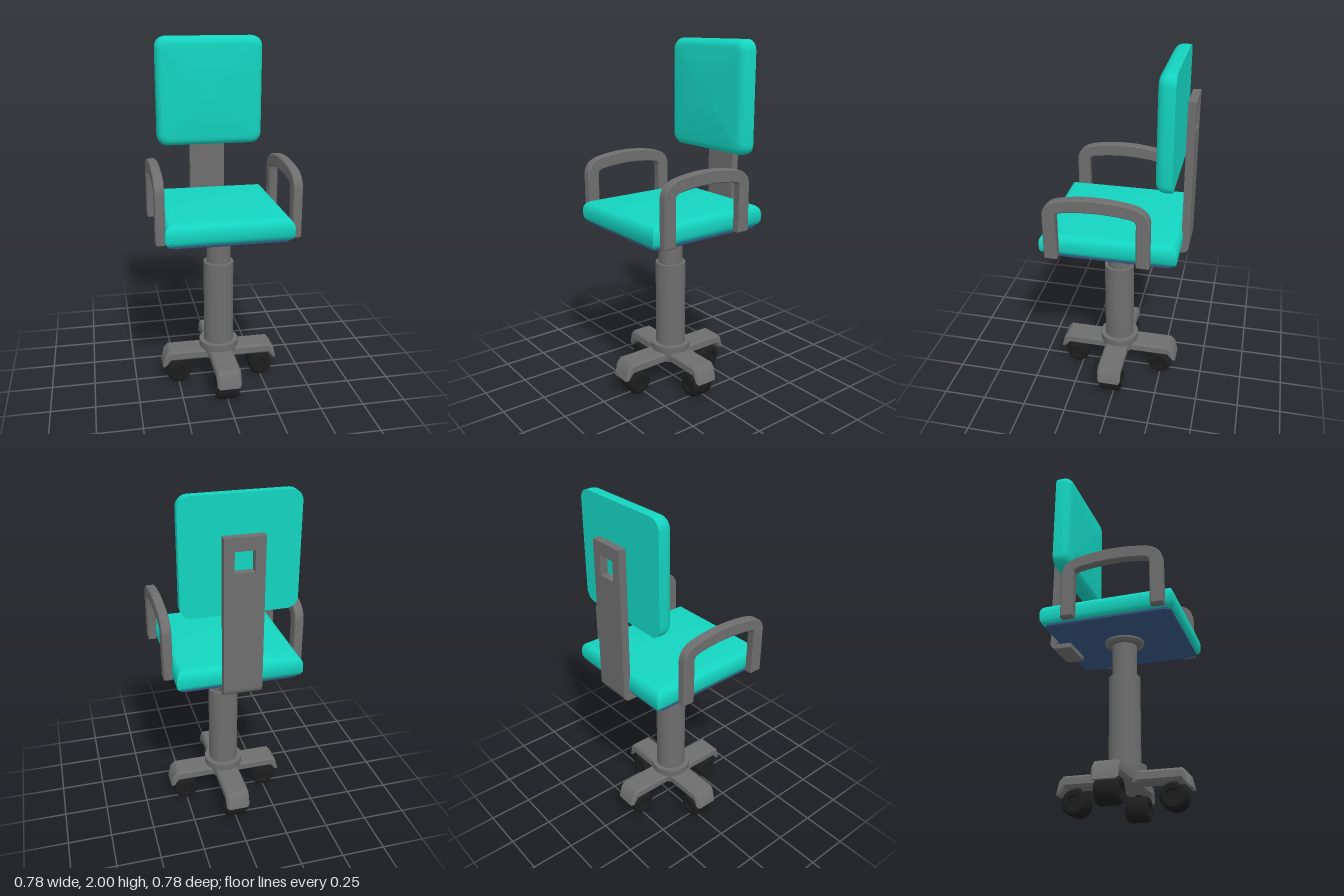
import * as THREE from 'three';
import { toCreasedNormals } from 'three/addons/utils/BufferGeometryUtils.js';

const material = (color) => new THREE.MeshStandardMaterial({ color });
const teal = material(0x14d4c0);
const grey = material(0x6e6e6e);
const blue = material(0x35557f);
const black = material(0x1c1c1c);

function part(name, geometry, mat, parent) {
  const mesh = new THREE.Mesh(toCreasedNormals(geometry, 0.6), mat);
  mesh.name = name;
  parent.add(mesh);
  return mesh;
}

// Counterclockwise outline of a rectangle with rounded corners
function roundedLoop(w, h, r, steps) {
  const loop = [];
  for (let c = 0; c < 4; c++) {
    const sx = c === 0 || c === 3 ? 1 : -1;
    const sy = c < 2 ? 1 : -1;
    for (let i = 0; i <= steps; i++) {
      const a = (c + (steps ? i / steps : 0.5)) * Math.PI / 2;
      loop.push([
        sx * (w / 2 - r) + (steps ? r * Math.cos(a) : sx * r),
        sy * (h / 2 - r) + (steps ? r * Math.sin(a) : sy * r),
      ]);
    }
  }
  return loop;
}

// Pad along z from [z, inset] levels
function pad(w, h, r, steps, levels) {
  const pos = [];
  const index = [];
  const n = (steps + 1) * 4;
  for (const [z, inset] of levels) {
    const loop = roundedLoop(w - 2 * inset, h - 2 * inset, Math.max(r - inset * 0.5, 0), steps);
    for (const [x, y] of loop) pos.push(x, y, z);
  }
  const last = levels.length - 1;
  for (let k = 0; k < last; k++) {
    for (let i = 0; i < n; i++) {
      const a = k * n + i;
      const b = k * n + (i + 1) % n;
      index.push(a, b, b + n, a, b + n, a + n);
    }
  }
  const back = pos.length / 3;
  pos.push(0, 0, levels[0][0], 0, 0, levels[last][0]);
  for (let i = 0; i < n; i++) {
    const j = (i + 1) % n;
    index.push(back, j, i, back + 1, last * n + i, last * n + j);
  }
  const g = new THREE.BufferGeometry();
  g.setAttribute('position', new THREE.Float32BufferAttribute(pos, 3));
  g.setIndex(index);
  return g;
}

// Side profile (z, y) extruded across x, centred on x = 0
function sideExtrude(shape, width, bevel) {
  const depth = width - 2 * bevel;
  return new THREE.ExtrudeGeometry(shape, {
    depth, curveSegments: 10, bevelEnabled: bevel > 0,
    bevelThickness: bevel, bevelSize: bevel, bevelOffset: -bevel, bevelSegments: 1,
  }).translate(0, 0, -depth / 2).rotateY(-Math.PI / 2);
}

const polygon = (pts) => new THREE.Shape(pts.map(([x, y]) => new THREE.Vector2(x, y)));

export function createModel() {
  const chair = new THREE.Group();
  chair.name = 'officeChair';
  const cz = 0.02;

  // Seat and its mounting board
  const seat = pad(0.69, 0.75, 0, 0, [
    [0.98, 0.025], [0.99, 0.01], [1.01, 0], [1.055, 0], [1.075, 0.005],
    [1.09, 0.017], [1.1, 0.033], [1.105, 0.055],
  ]);
  part('seatCushion', seat.rotateX(-Math.PI / 2), teal, chair).position.z = 0.016;
  const board = pad(0.66, 0.71, 0.03, 2, [[0.965, 0.01], [0.972, 0], [0.984, 0]]);
  part('seatBoard', board.rotateX(-Math.PI / 2), blue, chair).position.z = 0.016;

  // Backrest: flat behind, rounded at the front edge
  const backrest = pad(0.62, 0.62, 0.06, 6, [
    [-0.315, 0], [-0.268, 0], [-0.25, 0.005], [-0.236, 0.015], [-0.228, 0.028], [-0.225, 0.045],
  ]);
  part('backrest', backrest, teal, chair).position.y = 1.69;

  // Back support: upright plate with a window, curved foot below
  const plate = polygon([[-0.105, 1], [0.105, 1], [0.105, 1.81], [-0.105, 1.81]]);
  plate.holes.push(new THREE.Path(polygon([
    [-0.052, 1.63], [-0.052, 1.74], [0.052, 1.74], [0.052, 1.63],
  ]).getPoints()));
  part('backSupportPlate', new THREE.ExtrudeGeometry(plate, { depth: 0.043, bevelEnabled: false }),
    grey, chair).position.z = -0.394;
  const foot = new THREE.Shape();
  foot.moveTo(-0.394, 1);
  foot.lineTo(-0.394, 0.975);
  foot.quadraticCurveTo(-0.39, 0.938, -0.35, 0.938);
  foot.lineTo(-0.27, 0.938);
  foot.lineTo(-0.27, 0.965);
  foot.lineTo(-0.365, 0.967);
  foot.quadraticCurveTo(-0.351, 0.97, -0.351, 1);
  part('backSupportFoot', sideExtrude(foot, 0.21, 0), grey, chair);

  // Armrests
  const arch = new THREE.Shape();
  arch.moveTo(0.35, 0.985);
  arch.lineTo(0.35, 1.25);
  arch.quadraticCurveTo(0.345, 1.315, 0.265, 1.338);
  arch.quadraticCurveTo(0.065, 1.38, -0.135, 1.338);
  arch.quadraticCurveTo(-0.215, 1.315, -0.22, 1.25);
  arch.lineTo(-0.22, 0.985);
  arch.lineTo(-0.148, 0.985);
  arch.lineTo(-0.148, 1.24);
  arch.quadraticCurveTo(-0.148, 1.265, -0.115, 1.27);
  arch.quadraticCurveTo(0.065, 1.3, 0.245, 1.27);
  arch.quadraticCurveTo(0.278, 1.265, 0.278, 1.24);
  arch.lineTo(0.278, 0.985);
  for (const side of [1, -1]) {
    part(side > 0 ? 'leftArmrest' : 'rightArmrest', sideExtrude(arch, 0.052, 0.006), grey, chair)
      .position.x = side * 0.365;
  }

  // Gas-lift column
  const column = new THREE.LatheGeometry([
    [0, 0.14], [0.1, 0.15], [0.115, 0.21], [0.115, 0.25], [0.087, 0.25], [0.087, 0.75],
    [0.07, 0.75], [0.07, 0.94], [0.1, 0.94], [0.112, 0.955], [0.112, 0.968], [0, 0.968],
  ].map(([r, y]) => new THREE.Vector2(r, y)), 32);
  part('column', column, grey, chair).position.z = cz;

  // Four-armed base with drooping tips, and casters
  const leg = polygon([
    [0, 0.15], [0.295, 0.15], [0.328, 0.11], [0.345, 0.112],
    [0.328, 0.185], [0.305, 0.21], [0, 0.21],
  ]);
  const rim = [
    [0, -0.052], [0.03, -0.052], [0.036, -0.064], [0.056, -0.064], [0.066, -0.056], [0.07, -0.045],
  ];
  const wheelProfile = [...rim, ...rim.map(([r, y]) => [r, -y]).reverse()]
    .map(([r, y]) => new THREE.Vector2(r, y));
  for (let i = 0; i < 4; i++) {
    const arm = new THREE.Group();
    arm.name = 'baseArm' + (i + 1);
    arm.position.z = cz;
    arm.rotation.y = i * Math.PI / 2;
    const along = i % 2 ? 1 : 1.055;
    part('leg', sideExtrude(leg, 0.14, 0.012), grey, arm).scale.z = along;
    const reach = 0.25 * along;
    part('casterStem', new THREE.CylinderGeometry(0.02, 0.02, 0.08, 12), black, arm)
      .position.set(0, 0.13, reach);
    const wheel = new THREE.LatheGeometry(wheelProfile, 28).rotateZ(Math.PI / 2);
    part('casterWheel', wheel, black, arm).position.set(0, 0.072, reach);
    chair.add(arm);
  }
  return chair;
}
